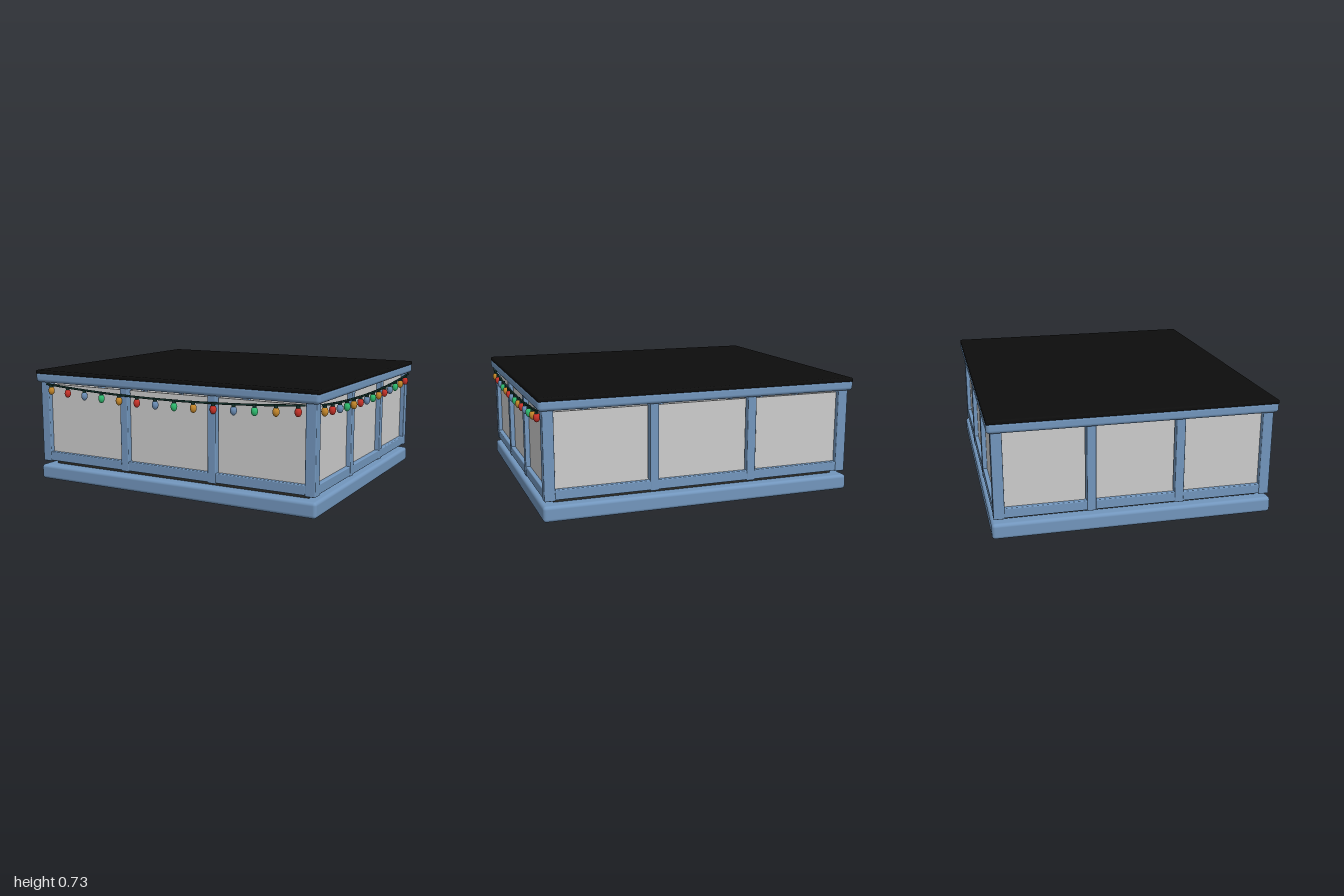
import * as THREE from 'three';
import { RoundedBoxGeometry } from 'three/addons/geometries/RoundedBoxGeometry.js';

const mat = (name, color, side = THREE.FrontSide) => {
  const m = new THREE.MeshStandardMaterial({ color, side });
  m.name = name;
  return m;
};

export function createModel() {
  const model = new THREE.Group();
  model.name = 'pavilion';

  const blue = mat('painted blue', 0x7296bd);
  const black = mat('roof black', 0x0d0d0d);
  const grey = mat('window grey', 0xcccccc);
  const dark = mat('plinth dark', 0x2c2c28);
  const cord = mat('cord dark green', 0x12302a);
  const bulbs = [
    mat('amber bulb', 0xc98a2b), mat('red bulb', 0xcc3329),
    mat('blue bulb', 0x6c8fb8), mat('green bulb', 0x2fbf71),
  ];

  const add = (parent, name, geometry, material, x = 0, y = 0, z = 0) => {
    const mesh = new THREE.Mesh(geometry, material);
    mesh.name = name;
    mesh.position.set(x, y, z);
    parent.add(mesh);
    return mesh;
  };
  const box = (w, h, d, r = 0.006) => new RoundedBoxGeometry(w, h, d, 3, r);

  // Base, recessed plinth and roof slabs
  add(model, 'base', box(1.97, 0.095, 1.705, 0.02), blue, 0, 0.0475);
  add(model, 'plinth', new THREE.BoxGeometry(1.82, 0.04, 1.55), dark, 0, 0.11);
  add(model, 'roofTrim', box(2, 0.068, 1.725, 0.022), blue, 0, 0.679);
  add(model, 'roofTop', box(2, 0.028, 1.725, 0.012), black, 0, 0.711);

  // Corner posts
  for (const x of [-1, 1]) for (const z of [-1, 1]) {
    add(model, 'cornerPost', box(0.065, 0.535, 0.065), blue, x * 0.942, 0.3875, z * 0.807);
  }

  // One wall: rail, two posts and three panes, built facing +z
  const makeWall = (half, dist) => {
    const wall = new THREE.Group();
    wall.name = 'wall';
    const postX = half * 0.344;
    add(wall, 'lowerRail', box(half * 2 + 0.01, 0.06, 0.055), blue, 0, 0.155, dist - 0.03);
    for (const s of [-1, 1]) {
      add(wall, 'middlePost', box(0.055, 0.535, 0.065), blue, s * postX, 0.3875, dist - 0.033);
    }
    const edges = [-half - 0.03, -postX, postX, half + 0.03];
    for (let i = 0; i < 3; i++) {
      const w = edges[i + 1] - edges[i] - 0.065;
      add(wall, 'windowPane', new THREE.BoxGeometry(w, 0.455, 0.012), grey,
        (edges[i] + edges[i + 1]) / 2, 0.405, dist - 0.035);
    }
    return wall;
  };

  // Sagging cord with hanging bulbs, built facing +z
  const socketGeo = new THREE.CylinderGeometry(0.011, 0.013, 0.028, 10);
  const bulbGeo = new THREE.SphereGeometry(0.02, 14, 10);
  bulbGeo.scale(1, 1.4, 1);
  const makeLights = (half, first, last, dist) => {
    const lights = new THREE.Group();
    lights.name = 'stringLights';
    const sag = (x) => 0.6 + 0.036 * (x / half) ** 2;
    const points = [];
    for (let i = 0; i <= 12; i++) {
      const x = half * (i / 6 - 1);
      points.push(new THREE.Vector3(x, sag(x), dist));
    }
    add(lights, 'cord', new THREE.TubeGeometry(new THREE.CatmullRomCurve3(points), 48, 0.007, 6), cord);
    for (let i = 0; i < 14; i++) {
      const x = first + (last - first) * i / 13;
      add(lights, 'socket', socketGeo, cord, x, sag(x) - 0.01, dist);
      add(lights, 'bulb', bulbGeo, bulbs[i % 4], x, sag(x) - 0.037, dist);
    }
    return lights;
  };

  // Four walls
  for (let i = 0; i < 4; i++) {
    const wall = i % 2 ? makeWall(0.775, 0.975) : makeWall(0.91, 0.84);
    wall.rotation.y = i * Math.PI / 2;
    model.add(wall);
  }

  // Lights on the front and on the +x side
  model.add(makeLights(0.915, -0.877, 0.87, 0.85));
  const sideLights = makeLights(0.81, -0.75, 0.745, 0.985);
  sideLights.rotation.y = Math.PI / 2;
  model.add(sideLights);

  return model;
}
